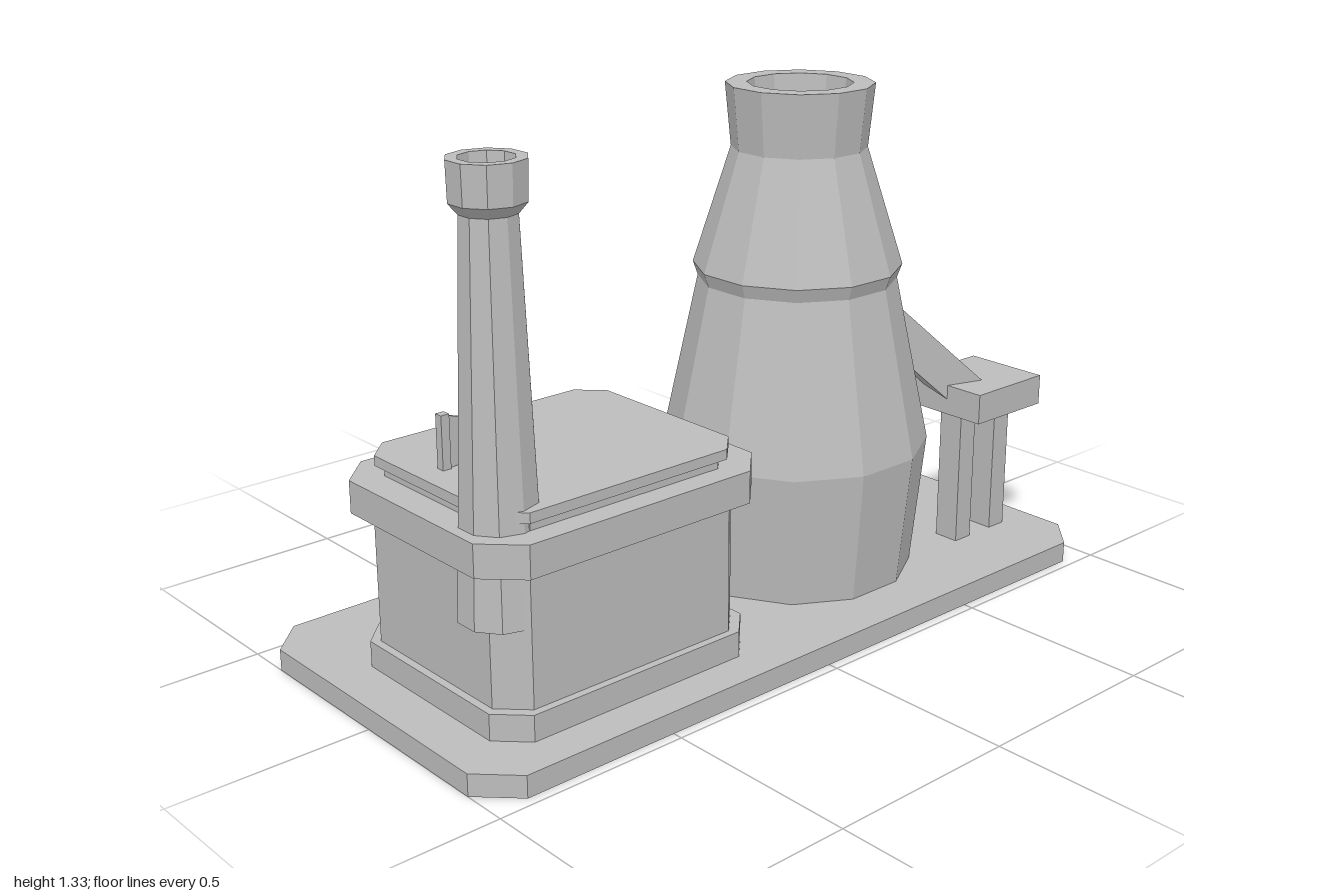
import * as THREE from 'three';

const stone = new THREE.MeshStandardMaterial({ color: 0xbcbcbc, flatShading: true, side: THREE.DoubleSide });
stone.name = 'plain grey';

// Stack of chamfered rectangles; each ring is [y, halfWidth, halfDepth, chamfer]
function stack(rings, bottomCap = true) {
  const loops = rings.map(([y, w, d, c]) => [
    [w, y, d - c], [w, y, c - d], [w - c, y, -d], [c - w, y, -d],
    [-w, y, c - d], [-w, y, d - c], [c - w, y, d], [w - c, y, d],
  ]);
  const pos = [];
  const tri = (a, b, c) => pos.push(...a, ...b, ...c);
  for (let k = 0; k + 1 < loops.length; k++) {
    const lo = loops[k], hi = loops[k + 1];
    for (let i = 0; i < 8; i++) {
      const j = (i + 1) % 8;
      tri(lo[i], lo[j], hi[j]);
      tri(lo[i], hi[j], hi[i]);
    }
  }
  const top = loops[loops.length - 1], low = loops[0];
  for (let i = 1; i < 7; i++) {
    tri(top[0], top[i], top[i + 1]);
    if (bottomCap) tri(low[0], low[i + 1], low[i]);
  }
  const g = new THREE.BufferGeometry();
  g.setAttribute('position', new THREE.Float32BufferAttribute(pos, 3));
  g.computeVertexNormals();
  return g;
}

function lathe(points, sides, turn = 0) {
  return new THREE.LatheGeometry(points.map(([r, y]) => new THREE.Vector2(r, y)), sides, turn);
}

export function createModel() {
  const model = new THREE.Group();
  model.name = 'kilnYard';

  const add = (name, geometry, x = 0, y = 0, z = 0, parent = model) => {
    const m = new THREE.Mesh(geometry, stone);
    m.name = name;
    m.position.set(x, y, z);
    parent.add(m);
    return m;
  };
  // Box given by its min and max corners
  const box = (name, x0, x1, y0, y1, z0, z1, parent = model) =>
    add(name, new THREE.BoxGeometry(x1 - x0, y1 - y0, z1 - z0),
      (x0 + x1) / 2, (y0 + y1) / 2, (z0 + z1) / 2, parent);

  // Hollow ground slab, open underneath
  add('groundSlab', stack([[0, 1, 0.475, 0.09], [0.055, 1, 0.475, 0.09]], false));

  // Bottle kiln
  const kx = 0.305, kz = 0.038, k = 1 / Math.cos(Math.PI / 12);
  add('kiln', lathe([
    [0.3, 0.055], [0.333, 0.4], [0.245, 0.83], [0.257, 0.865], [0.165, 1.165],
    [0.18, 1.325], [0.128, 1.325], [0.122, 1.27], [0, 1.27],
  ].map(([r, y]) => [r * k, y]), 12, Math.PI / 12), kx, 0, kz);
  box('kilnBackLedge', 0.25, 0.36, 0.69, 0.715, -0.247, -0.18);
  box('kilnSidePeg', 0.58, 0.627, 0.21, 0.245, 0.067, 0.102);

  // Stoke hole block behind the kiln, with an arched recess
  const stoke = new THREE.Group();
  stoke.name = 'stokeHole';
  stoke.position.set(0.303, 0, 0);
  model.add(stoke);
  box('stokeBody', -0.23, 0.23, 0.055, 0.36, -0.3, -0.1, stoke);
  const face = new THREE.Shape();
  face.moveTo(-0.23, 0.055).lineTo(0.23, 0.055).lineTo(0.23, 0.36).lineTo(-0.23, 0.36).closePath();
  const arch = new THREE.Path();
  arch.moveTo(-0.1, 0.075).lineTo(-0.1, 0.24).lineTo(-0.065, 0.295).lineTo(0, 0.325)
    .lineTo(0.065, 0.295).lineTo(0.1, 0.24).lineTo(0.1, 0.075).closePath();
  face.holes.push(arch);
  const front = new THREE.ExtrudeGeometry(face, { depth: 0.048, bevelEnabled: false });
  const fp = front.attributes.position;
  for (let i = 0; i < fp.count; i++) // chamfer the outer corners
    if (fp.getZ(i) < 0.01 && Math.abs(fp.getX(i)) > 0.2) fp.setX(i, Math.sign(fp.getX(i)) * 0.185);
  front.computeVertexNormals();
  add('stokeArchFace', front, 0, 0, -0.348, stoke);
  add('stokeLedge', stack([
    [0.07, 0.156, 0.058, 0.002], [0.08, 0.156, 0.058, 0.002], [0.12, 0.13, 0.042, 0.002],
  ]), 0, 0, -0.402, stoke);

  // Shed with plinth, eave band and roof slab
  add('shed', stack([
    [0.04, 0.373, 0.305, 0.07], [0.12, 0.373, 0.305, 0.07],
    [0.12, 0.353, 0.285, 0.065], [0.45, 0.353, 0.285, 0.065],
    [0.45, 0.401, 0.325, 0.085], [0.53, 0.401, 0.325, 0.085],
    [0.53, 0.325, 0.265, 0.055], [0.555, 0.325, 0.265, 0.055],
    [0.555, 0.342, 0.283, 0.06], [0.58, 0.342, 0.283, 0.06],
  ]), -0.51, 0, 0.07);

  // Small chimney on the shed corner
  add('chimney', lathe([
    [0, 0.31], [0.103, 0.31], [0.092, 0.53], [0.065, 1.21], [0.086, 1.235], [0.088, 1.325],
    [0.062, 1.325], [0.058, 1.27], [0, 1.27],
  ], 10), -0.796, 0, 0.247);

  // Roof post with a triangular fin
  box('roofPost', -0.79, -0.768, 0.57, 0.71, 0.01, 0.032);
  const fin = new THREE.Shape();
  fin.moveTo(-0.77, 0.58).lineTo(-0.7, 0.585).lineTo(-0.6, 0.65).lineTo(-0.77, 0.705).closePath();
  add('roofFin', new THREE.ExtrudeGeometry(fin, { depth: 0.008, bevelEnabled: false }), 0, 0, 0.018);

  // Back door
  const door = new THREE.Group();
  door.name = 'shedDoor';
  model.add(door);
  box('doorStep', -0.68, -0.42, 0.015, 0.1, -0.305, -0.2, door);
  box('doorPanel', -0.63, -0.47, 0.1, 0.39, -0.225, -0.2, door);
  for (const s of [-1, 1])
    box('doorPost', -0.55 + s * 0.09 - 0.016, -0.55 + s * 0.09 + 0.016, 0.1, 0.39, -0.242, -0.2, door);
  box('doorLintel', -0.67, -0.43, 0.385, 0.425, -0.252, -0.2, door);
  box('doorKnob', -0.515, -0.495, 0.225, 0.25, -0.243, -0.22, door);

  // Side window
  const win = new THREE.Group();
  win.name = 'shedWindow';
  model.add(win);
  box('windowPane', -0.17, -0.15, 0.23, 0.36, -0.03, 0.17, win);
  for (const z of [-0.03, 0.17]) box('windowJamb', -0.17, -0.125, 0.23, 0.37, z - 0.012, z + 0.012, win);
  box('windowBar', -0.17, -0.14, 0.23, 0.36, 0.062, 0.078, win);
  box('windowHead', -0.17, -0.125, 0.345, 0.37, -0.042, 0.182, win);
  box('windowSill', -0.17, -0.11, 0.205, 0.24, -0.06, 0.2, win);

  // Chute and receiving table
  const chute = add('chute', new THREE.BoxGeometry(0.08, 0.1, 0.37), 0.627, 0.585, 0.183);
  chute.lookAt(0.627 + 0.26, 0.585 - 0.245, 0.183 + 0.08);
  box('tableTop', 0.675, 0.925, 0.42, 0.5, 0.118, 0.35);
  for (const x of [0.7, 0.84]) box('tableLeg', x, x + 0.058, 0.055, 0.42, 0.2, 0.27);

  // Bucket with a leaning stick
  add('bucket', lathe([
    [0, 0.055], [0.07, 0.055], [0.092, 0.215], [0.076, 0.215], [0.068, 0.14], [0, 0.14],
  ], 10), 0.797, 0, -0.132);
  const stick = add('stick', new THREE.BoxGeometry(0.025, 0.025, 0.33), 0.825, 0.265, -0.11);
  stick.lookAt(0.825 + 0.07, 0.265 + 0.32, -0.11 + 0.055);

  // Pile of bricks
  for (const [x, y] of [[-0.152, 0.055], [-0.065, 0.055], [0.022, 0.055], [-0.105, 0.112]])
    add('brick', stack([[0, 0.04, 0.085, 0.001], [0.046, 0.027, 0.07, 0.001]]), x, y, -0.315);

  return model;
}
